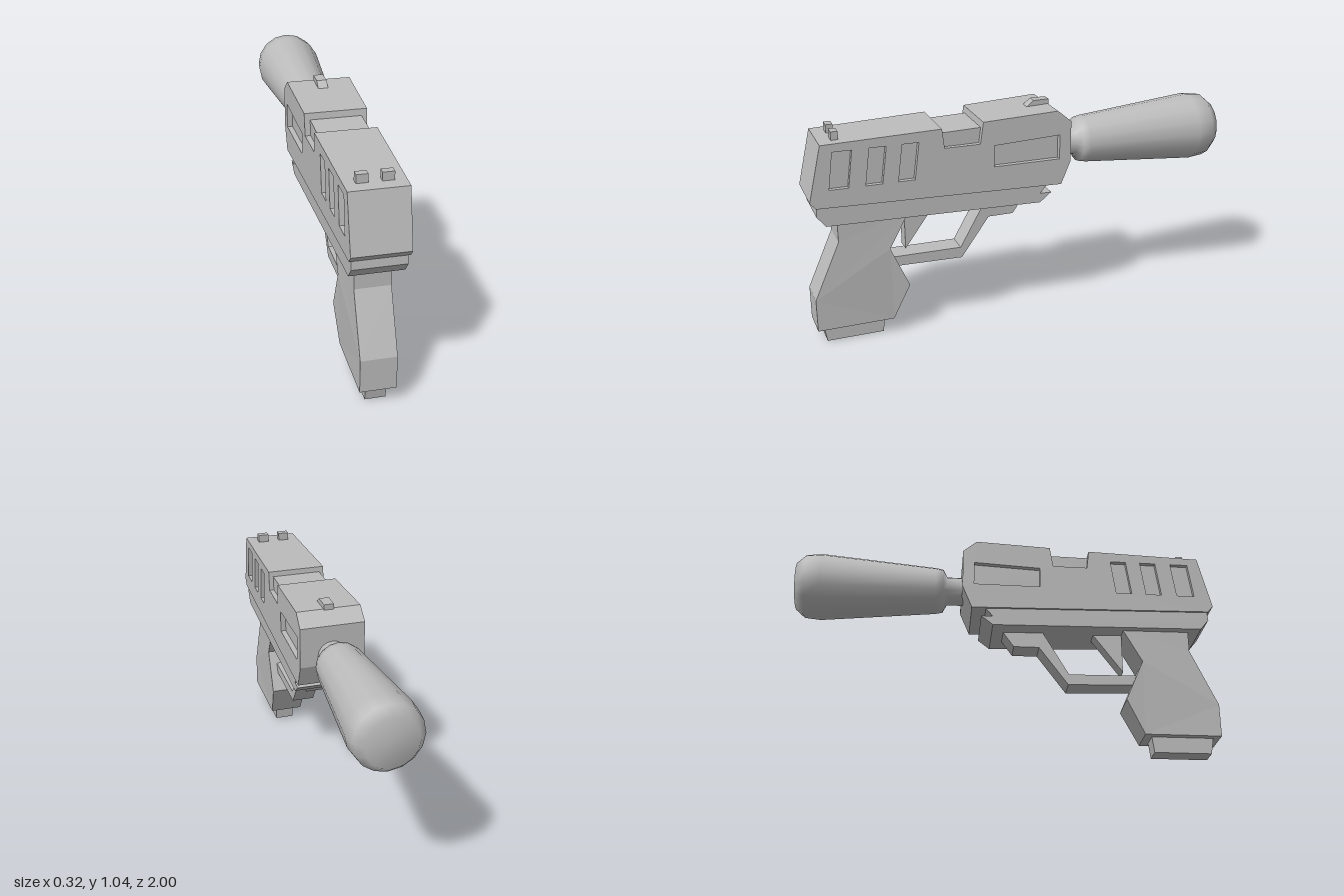
import * as THREE from 'three';

const grey = new THREE.MeshStandardMaterial({ color: 0xbcbcbc });
grey.name = 'grey';

// Side profile of [z, y] points, extruded across x from x0 to x1.
function slab(points, x0, x1, holes = []) {
  const toVectors = list => list.map(([z, y]) => new THREE.Vector2(z, y));
  const shape = new THREE.Shape(toVectors(points));
  holes.forEach(h => shape.holes.push(new THREE.Path(toVectors(h))));
  const g = new THREE.ExtrudeGeometry(shape, { depth: x1 - x0, bevelEnabled: false });
  g.rotateY(-Math.PI / 2);
  g.translate(x1, 0, 0);
  return g;
}

// Moves each vertex's x by a rule of (x, y, z).
function warp(g, rule) {
  const p = g.attributes.position;
  for (let i = 0; i < p.count; i++) p.setX(i, rule(p.getX(i), p.getY(i), p.getZ(i)));
  g.computeVertexNormals();
  return g;
}

// The body widens gently from front to back.
const taper = (x, y, z) => x * (1 + 0.2 * (1 - z) / 1.2);

export function createModel() {
  const model = new THREE.Group();
  const add = (name, geometry) => {
    const mesh = new THREE.Mesh(geometry, grey);
    mesh.name = name;
    model.add(mesh);
    return mesh;
  };

  // Upper body: solid core with pierced side plates that form the recesses
  const upper = [
    [0.975, 0.69], [1.0, 0.72], [0.94, 0.975], [0.405, 0.99], [0.395, 0.9], [0.23, 0.9],
    [0.215, 1.0], [-0.14, 1.015], [-0.205, 0.96], [-0.205, 0.77], [-0.16, 0.66],
  ];
  const slots = [[0.89, 0.805], [0.73, 0.655], [0.585, 0.51]].map(([a, b]) =>
    [[a, 0.94], [b, 0.94], [b + 0.023, 0.77], [a + 0.023, 0.77]]);
  slots.push([[0.165, 0.885], [-0.15, 0.9], [-0.15, 0.785], [0.165, 0.785]]);
  add('upperBodyCore', warp(slab(upper, -0.104, 0.104), taper));
  add('leftSidePlate', warp(slab(upper, 0.104, 0.125, slots), taper));
  add('rightSidePlate', warp(slab(upper, -0.125, -0.104, slots), taper));

  // Inset block in the top notch
  add('notchBlock', slab([[0.41, 0.88], [0.41, 0.965], [0.21, 0.97], [0.21, 0.88]], -0.116, 0.116));

  // Lower frame with a stepped rear lip
  const frame = [
    [0.97, 0.7], [0.975, 0.65], [0.935, 0.6], [-0.06, 0.578], [-0.115, 0.622],
    [-0.06, 0.622], [-0.1, 0.67],
  ];
  add('lowerFrame', warp(slab(frame, -0.116, 0.116), taper));

  // Grip, slimmer along the front strap and at the base
  const grip = [
    [0.88, 0.61], [0.88, 0.5], [1.0, 0.23], [1.0, 0.075],
    [0.645, 0.075], [0.565, 0.24], [0.65, 0.435], [0.555, 0.61],
  ];
  add('grip', warp(slab(grip, -1, 1), (x, y, z) => Math.sign(x) * (z > 0.8 || y < 0.1 ? 0.079 : 0.09)));
  add('gripBase', slab([[0.97, 0.085], [0.955, 0], [0.69, 0], [0.68, 0.085]], -0.045, 0.045));

  // Trigger and its guard
  add('trigger', slab([[0.565, 0.6], [0.565, 0.4], [0.42, 0.6]], -0.035, 0.035));
  const guard = [
    [0.64, 0.376], [0.305, 0.372], [0.175, 0.6], [-0.02, 0.6], [0.045, 0.507],
    [0.165, 0.507], [0.3, 0.32], [0.61, 0.328],
  ];
  add('triggerGuard', slab(guard, -0.053, 0.053));

  // Small sights on top
  add('rearSight', slab([[-0.01, 0.99], [-0.07, 1.037], [-0.145, 1.037], [-0.145, 0.99]], -0.023, 0.023));
  for (const side of [-1, 1]) {
    const block = add(side > 0 ? 'leftFrontSight' : 'rightFrontSight', new THREE.BoxGeometry(0.05, 0.055, 0.032));
    block.position.set(side * 0.053, 0.987, 0.866);
  }

  // Rounded club-shaped rear piece on a short neck
  const profile = [
    [0.068, 0.19], [0.068, 0.275], [0.105, 0.295], [0.112, 0.33], [0.16, 0.88],
    [0.152, 0.955], [0.115, 0.998], [0, 1.0],
  ].map(([r, d]) => new THREE.Vector2(r, d));
  const club = add('rearClub', new THREE.LatheGeometry(profile, 16).rotateX(-Math.PI / 2));
  club.position.y = 0.817;

  return model;
}
